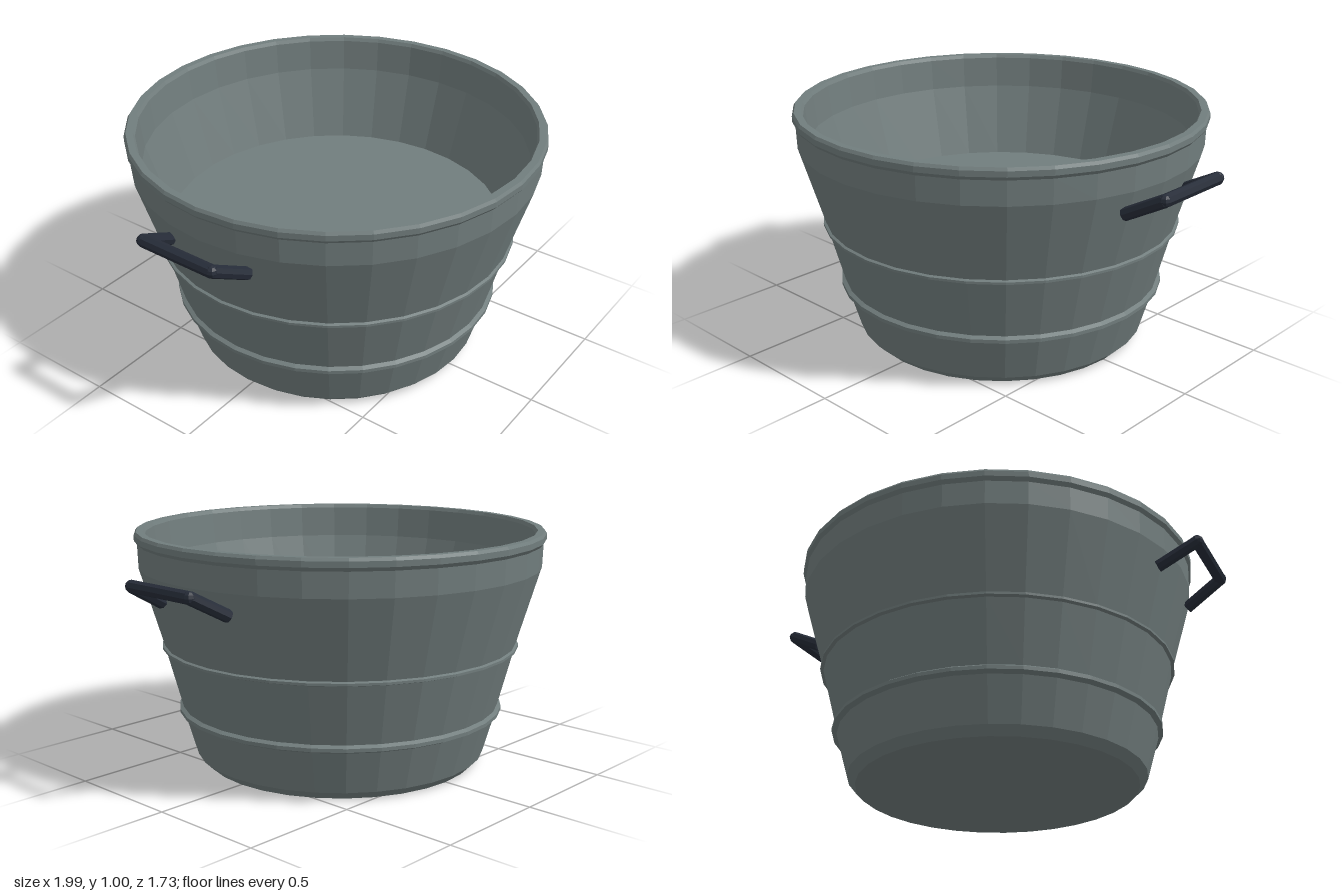
import * as THREE from 'three';

const SIDES = 32;

export function createModel() {
  const steel = new THREE.MeshStandardMaterial({ color: 0x717d7d, flatShading: true });
  steel.name = 'grey steel';
  const iron = new THREE.MeshStandardMaterial({ color: 0x262c38, flatShading: true });
  iron.name = 'dark iron';

  const model = new THREE.Group();
  model.name = 'washtub';

  const add = (parent, geometry, material, name) => {
    const mesh = new THREE.Mesh(geometry, material);
    mesh.name = name;
    parent.add(mesh);
    return mesh;
  };
  const lathe = (points) =>
    new THREE.LatheGeometry(points.map(([r, y]) => new THREE.Vector2(r, y)), SIDES);

  // Outer wall with two raised hoops, rolled rim, and inner wall down to the floor
  add(model, lathe([
    [0.59, 0], [0.625, 0.035],
    [0.677, 0.215], [0.698, 0.225], [0.698, 0.24], [0.683, 0.25],
    [0.749, 0.5], [0.763, 0.505], [0.763, 0.515], [0.753, 0.52],
    [0.85, 0.85], [0.853, 0.95],
    [0.865, 0.965], [0.865, 0.988], [0.857, 1],
    [0.828, 1], [0.82, 0.985], [0.805, 0.85], [0.71, 0.54],
  ]), steel, 'tubWall');

  // Underside and raised inner floor
  const base = add(model, new THREE.CircleGeometry(0.59, SIDES), steel, 'base');
  base.rotation.x = Math.PI / 2;
  const floor = add(model, new THREE.CircleGeometry(0.71, SIDES), steel, 'innerFloor');
  floor.rotation.x = -Math.PI / 2;
  floor.position.y = 0.54;

  // Bent-rod handles, one on each side
  const radius = 0.026;
  const up = new THREE.Vector3(0, 1, 0);
  for (const side of [1, -1]) {
    const handle = new THREE.Group();
    handle.name = side > 0 ? 'leftHandle' : 'rightHandle';
    const path = [
      [0.81, 0.762, 0.193], [0.971, 0.85, 0.168],
      [0.971, 0.85, -0.168], [0.81, 0.762, -0.193],
    ].map(([x, y, z]) => new THREE.Vector3(x * side, y, z));
    for (let i = 0; i < 3; i++) {
      const along = path[i + 1].clone().sub(path[i]);
      const rod = add(handle, new THREE.CylinderGeometry(radius, radius, along.length(), 8),
        iron, i === 1 ? 'grip' : 'handleArm');
      rod.position.copy(path[i]).addScaledVector(along, 0.5);
      rod.quaternion.setFromUnitVectors(up, along.normalize());
    }
    // Rounded corners where arms meet the grip
    for (const corner of path.slice(1, 3)) {
      add(handle, new THREE.SphereGeometry(radius, 8, 6), iron, 'handleCorner').position.copy(corner);
    }
    model.add(handle);
  }
  return model;
}
